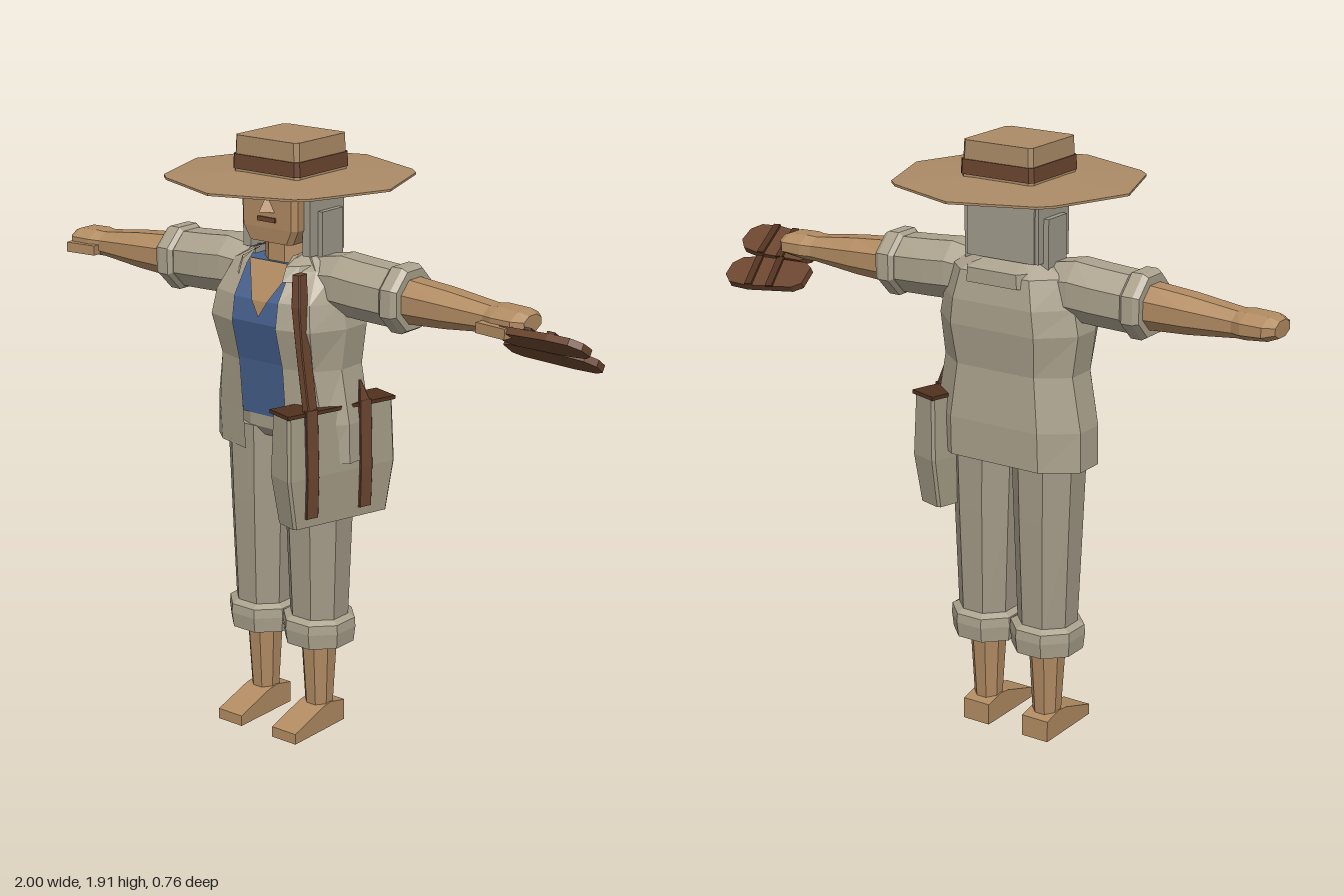
import * as THREE from 'three';

const mat = (name, color) => {
  const m = new THREE.MeshStandardMaterial({ color, flatShading: true, side: THREE.DoubleSide });
  m.name = name;
  return m;
};

// Mesh made of flat polygons, each fanned into triangles
function polyGeometry(polys) {
  const pos = [];
  for (const p of polys)
    for (let i = 1; i < p.length - 1; i++) pos.push(...p[0], ...p[i], ...p[i + 1]);
  const g = new THREE.BufferGeometry();
  g.setAttribute('position', new THREE.Float32BufferAttribute(pos, 3));
  g.computeVertexNormals();
  return g;
}

// Skin cross-sections that run counter-clockwise seen from the far end
function loft(rings, open = false) {
  const polys = [], n = rings[0].length;
  for (let k = 0; k < rings.length - 1; k++)
    for (let i = 0; i < (open ? n - 1 : n); i++) {
      const j = (i + 1) % n;
      polys.push([rings[k][i], rings[k][j], rings[k + 1][j], rings[k + 1][i]]);
    }
  if (!open) polys.push([...rings[0]].reverse(), rings[rings.length - 1]);
  return polyGeometry(polys);
}

// Octagons with flat sides, across the y axis or the x axis
const octagon = (fn) => Array.from({ length: 8 }, (_, i) => {
  const a = (i + 0.5) * Math.PI / 4, k = 1 / Math.cos(Math.PI / 8);
  return fn(Math.cos(a) * k, Math.sin(a) * k);
});
const octY = (y, rx, rz, x = 0, z = 0) => octagon((c, s) => [x + c * rx, y, z - s * rz]);
const octX = (x, y, ry, rz) => octagon((c, s) => [x, y + c * ry, s * rz - 0.003]);

// Rectangle with cut corners
const rectY = (y, w, d, c, x = 0, z = 0) => [
  [w, d - c], [w, c - d], [w - c, -d], [c - w, -d],
  [-w, c - d], [-w, d - c], [c - w, d], [w - c, d],
].map(([a, b]) => [x + a, y, z + b]);

export function createModel() {
  const skin = mat('skin', 0xb18b62), straw = mat('straw', 0xab8b67);
  const cloth = mat('linen jacket', 0xaba28d), trousers = mat('trouser cloth', 0xa39a87);
  const hair = mat('grey hair', 0x9f9a8c), blue = mat('blue vest', 0x47618f);
  const brown = mat('brown leather', 0x6b452f), dark = mat('dark leather', 0x51311f);
  const bagCloth = mat('bag canvas', 0xa29a85);

  const root = new THREE.Group();
  root.name = 'travellerFigure';
  const body = new THREE.Group();
  body.name = 'body';
  body.position.x = -0.11;
  root.add(body);
  const add = (name, geo, m, parent = body) => {
    const mesh = new THREE.Mesh(geo, m);
    mesh.name = name;
    parent.add(mesh);
    return mesh;
  };
  const box = (name, m, w, h, d, x, y, z, parent = body) => {
    const b = add(name, new THREE.BoxGeometry(w, h, d), m, parent);
    b.position.set(x, y, z);
    return b;
  };

  // Bare feet, shins, rolled trouser legs
  const sole = new THREE.Shape([[-0.07, 0], [0.18, 0], [0.18, 0.035], [0.04, 0.08], [0, 0.085], [-0.07, 0.07]]
    .map(([a, b]) => new THREE.Vector2(a, b)));
  for (const s of [-1, 1]) {
    const x = s * 0.112;
    const foot = new THREE.ExtrudeGeometry(sole, { depth: 0.096, bevelEnabled: false });
    foot.translate(0, 0, -0.048).rotateY(-Math.PI / 2);
    add('foot', foot, skin).position.x = x;
    add('shin', loft([octY(0.06, 0.042, 0.04, x), octY(0.33, 0.056, 0.058, x)]), skin);
    add('trouserLeg', loft([octY(0.36, 0.088, 0.087, x), octY(0.74, 0.102, 0.1, x), octY(1.0, 0.112, 0.105, x)]), trousers);
    add('trouserCuff', loft([octY(0.3, 0.106, 0.105, x), octY(0.35, 0.111, 0.112, x),
      octY(0.38, 0.109, 0.11, x), octY(0.392, 0.09, 0.09, x)]), cloth);
  }
  add('hips', loft([octY(0.97, 0.1, 0.08), octY(1.0, 0.2, 0.1), octY(1.08, 0.2, 0.1)]), trousers);

  // Vest with a bare V at the neck
  add('vest', loft([rectY(1.04, 0.15, 0.1, 0.04), rectY(1.22, 0.15, 0.122, 0.04),
    rectY(1.35, 0.15, 0.155, 0.04), rectY(1.42, 0.15, 0.145, 0.04), rectY(1.53, 0.13, 0.08, 0.03)]
    .map((r) => r.map(([x, y, z]) => [x, y, Math.max(z, -0.1)]))), blue);
  add('bareChest', polyGeometry([
    [[0, 1.37, 0.157], [0.03, 1.42, 0.151], [-0.03, 1.42, 0.151]],
    [[-0.03, 1.42, 0.151], [0.03, 1.42, 0.151], [0.09, 1.532, 0.086], [-0.09, 1.532, 0.086]],
  ]), skin);
  add('neck', loft([octY(1.47, 0.08, 0.07), octY(1.62, 0.075, 0.065)]), skin);

  // Open jacket: y, half width, front z, back z
  const jacketRing = ([y, w, f, b]) => {
    const inner = Math.min(0.085, w * 0.75);
    const half = [[inner, f], [Math.max(inner, 0.78 * w), f - 0.03], [w, 0.04], [w, -0.06], [0.6 * w, b]];
    return [...half, ...half.map(([x, z]) => [-x, z]).reverse()].map(([x, z]) => [x, y, z]);
  };
  add('jacket', loft([[0.925, 0.265, 0.12, -0.135], [1.05, 0.263, 0.13, -0.14], [1.22, 0.232, 0.145, -0.13],
    [1.35, 0.25, 0.178, -0.15], [1.43, 0.235, 0.165, -0.15], [1.52, 0.205, 0.105, -0.135],
    [1.565, 0.11, 0.06, -0.085]].map(jacketRing), true), cloth);
  add('collar', loft([[1.49, 0.15, 0.145, -0.15], [1.535, 0.145, 0.125, -0.15],
    [1.56, 0.1, 0.08, -0.08]].map(jacketRing), true), cloth);

  // Arms held straight out, built along +x and turned for the other side
  for (const s of [-1, 1]) {
    const arm = new THREE.Group();
    arm.name = s > 0 ? 'leftArm' : 'rightArm';
    if (s < 0) arm.rotation.y = Math.PI;
    body.add(arm);
    add('sleeve', loft([octX(0.13, 1.475, 0.08, 0.075), octX(0.22, 1.48, 0.092, 0.085),
      octX(0.3, 1.475, 0.09, 0.087), octX(0.415, 1.47, 0.088, 0.085)]), cloth, arm);
    add('sleeveCuff', loft([octX(0.405, 1.47, 0.088, 0.088), octX(0.418, 1.47, 0.1, 0.1),
      octX(0.455, 1.47, 0.1, 0.1), octX(0.472, 1.47, 0.09, 0.09)]), cloth, arm);
    add('forearm', loft([octX(0.46, 1.468, 0.068, 0.068), octX(0.6, 1.466, 0.058, 0.066),
      octX(0.76, 1.464, 0.04, 0.058)]), skin, arm);
    add('hand', loft([octX(0.755, 1.464, 0.04, 0.058), octX(0.79, 1.466, 0.041, 0.072),
      octX(0.86, 1.468, 0.036, 0.074), octX(0.89, 1.468, 0.025, 0.045)]), skin, arm);
    box('thumb', skin, 0.11, 0.032, 0.034, 0.81, 1.452, s * 0.076, arm).rotation.y = -s * 0.12;
  }

  // Head, hair and face
  add('head', loft([rectY(1.595, 0.085, 0.08, 0.015, 0, 0.025), rectY(1.64, 0.108, 0.085, 0.015, 0, 0.025),
    rectY(1.8, 0.11, 0.088, 0.015, 0, 0.025)]), skin);
  box('hairBack', hair, 0.24, 0.24, 0.09, 0, 1.68, -0.058);
  for (const s of [-1, 1]) {
    box('hairSide', hair, 0.03, 0.23, 0.165, s * 0.117, 1.675, -0.015);
    box('hairLock', hair, 0.035, 0.19, 0.1, s * 0.132, 1.6, -0.02);
    box('eye', brown, 0.05, 0.028, 0.006, s * 0.055, 1.757, 0.114);
  }
  box('mouth', brown, 0.07, 0.014, 0.006, 0, 1.667, 0.114);
  const top = [0, 1.745, 0.11], l = [-0.03, 1.69, 0.11], r = [0.03, 1.69, 0.11], tip = [0, 1.695, 0.15];
  add('nose', polyGeometry([[top, l, tip], [top, tip, r], [l, r, tip]]), skin);

  // Wide hat
  const quadrant = [[0.38, 0], [0.29, 0.25], [0.25, 0.285]];
  const brimRing = (y, k) => [0, 1, 2, 3].flatMap((q) => quadrant.map(([a, b]) => {
    const t = q * Math.PI / 2, c = Math.cos(t), s = Math.sin(t);
    return [(a * c - b * s) * k, y, -(a * s + b * c) * k];
  }));
  add('hatBrim', loft([brimRing(1.783, 1), brimRing(1.79, 1), brimRing(1.803, 0.4)]), straw);
  add('hatCrown', loft([rectY(1.79, 0.127, 0.125, 0.012, 0, -0.003), rectY(1.912, 0.122, 0.121, 0.012, 0, -0.003)]), straw);
  add('hatBand', loft([rectY(1.81, 0.13, 0.128, 0.012, 0, -0.003), rectY(1.855, 0.128, 0.127, 0.012, 0, -0.003)]), brown);

  // Shoulder bag turned to follow the hip
  const bag = new THREE.Group();
  bag.name = 'shoulderBag';
  bag.position.set(0.195, 0, 0.035);
  bag.rotation.y = -0.29;
  body.add(bag);
  add('bagBody', loft([rectY(0.74, 0.046, 0.175, 0.008), rectY(0.9, 0.053, 0.2, 0.008), rectY(1.1, 0.045, 0.195, 0.008)]), bagCloth, bag);
  box('bagRim', dark, 0.1, 0.012, 0.4, 0, 1.103, 0, bag);
  for (const z of [0.115, -0.085])
    add('bagStrap', loft([rectY(0.77, 0.006, 0.022, 0.002, 0.05, z), rectY(0.9, 0.006, 0.022, 0.002, 0.056, z),
      rectY(1.115, 0.006, 0.022, 0.002, 0.049, z)]), brown, bag);
  add('strapEnd', loft([rectY(1.1, 0.006, 0.022, 0.002, 0.049, -0.085), rectY(1.18, 0.004, 0.004, 0.002, 0.045, -0.068)]), brown, bag);
  add('shoulderStrap', loft([rectY(1.1, 0.013, 0.022, 0.003, 0.2, 0.152), rectY(1.3, 0.013, 0.022, 0.003, 0.175, 0.155),
    rectY(1.43, 0.016, 0.022, 0.003, 0.16, 0.153), rectY(1.525, 0.014, 0.02, 0.003, 0.15, 0.14)]), brown);

  // Pair of sandals carried in the left hand
  const side = [[-0.15, 0.035], [-0.12, 0.055], [0.05, 0.064], [0.12, 0.055], [0.15, 0.025]];
  const outline = new THREE.Shape([...side.map(([a, b]) => [a, -b]), ...[...side].reverse()]
    .map(([a, b]) => new THREE.Vector2(a, b)));
  for (const [x, y, z, yaw] of [[0.848, 1.435, 0.045, -0.05], [0.815, 1.365, -0.068, 0.1]]) {
    const sandal = new THREE.Group();
    sandal.name = 'sandal';
    sandal.position.set(x + 0.11, y, z);
    sandal.rotation.set(-0.57, yaw, 0);
    body.add(sandal);
    const g = new THREE.ExtrudeGeometry(outline, { depth: 0.022, bevelEnabled: false });
    add('sandalSole', g.translate(0, 0, -0.011).rotateX(-Math.PI / 2), brown, sandal);
    for (const sx of [-0.03, 0.05])
      box('sandalStrap', dark, 0.025, 0.008, 0.128, sx, 0.014, 0, sandal).rotation.y = 0.15;
  }
  return root;
}
